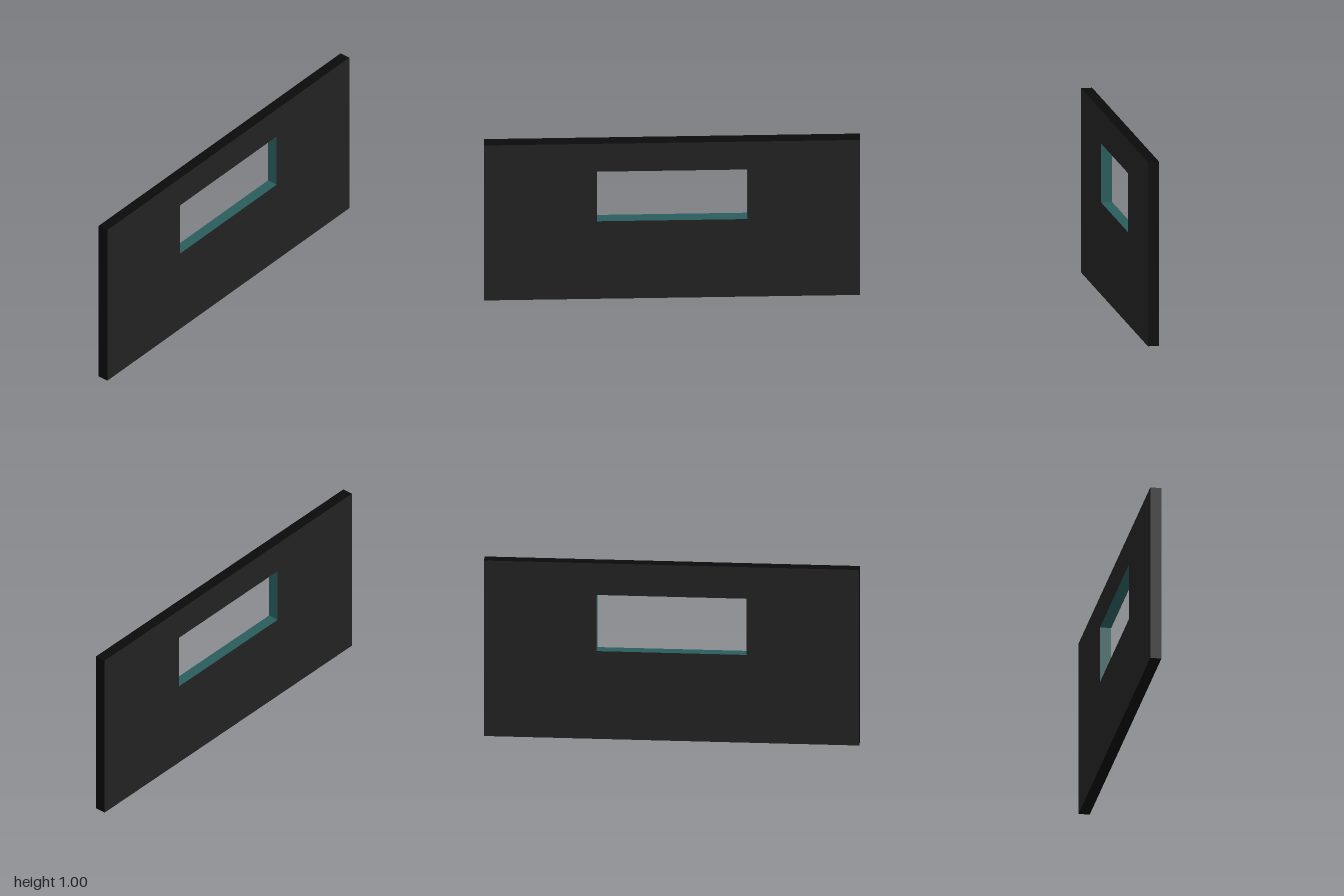
import * as THREE from 'three';

const THICKNESS = 0.06;

// Traces a rectangle on a Shape or Path
function rectangle(path, left, bottom, right, top) {
  path.moveTo(left, bottom);
  path.lineTo(right, bottom);
  path.lineTo(right, top);
  path.lineTo(left, top);
  path.closePath();
  return path;
}

// Makes a named mesh from a run of vertices of a larger geometry
function part(source, name, color, start, count) {
  const geometry = new THREE.BufferGeometry();
  for (const key of ['position', 'normal']) {
    const values = source.getAttribute(key).array.slice(start * 3, (start + count) * 3);
    geometry.setAttribute(key, new THREE.BufferAttribute(values, 3));
  }
  const mesh = new THREE.Mesh(geometry, new THREE.MeshStandardMaterial({ color }));
  mesh.name = name;
  return mesh;
}

export function createModel() {
  const model = new THREE.Group();
  model.name = 'wallWithWindow';

  // Wall slab with a rectangular window opening
  const outline = rectangle(new THREE.Shape(), -1, 0, 1, 1);
  outline.holes.push(rectangle(new THREE.Path(), -0.4, 0.5, 0.4, 0.82));
  const slab = new THREE.ExtrudeGeometry(outline, { depth: THICKNESS, bevelEnabled: false });
  slab.translate(0, 0, -THICKNESS / 2);

  // The faces come first, then the outer rim, then the sides of the opening
  const [faces, sides] = slab.groups;
  const rimCount = sides.count / 2;
  model.add(
    part(slab, 'wallFaces', 0x222222, faces.start, faces.count),
    part(slab, 'wallRim', 0x0a0a0a, sides.start, rimCount),
    part(slab, 'windowReveal', 0x2a5c5c, sides.start + rimCount, rimCount),
  );
  return model;
}
